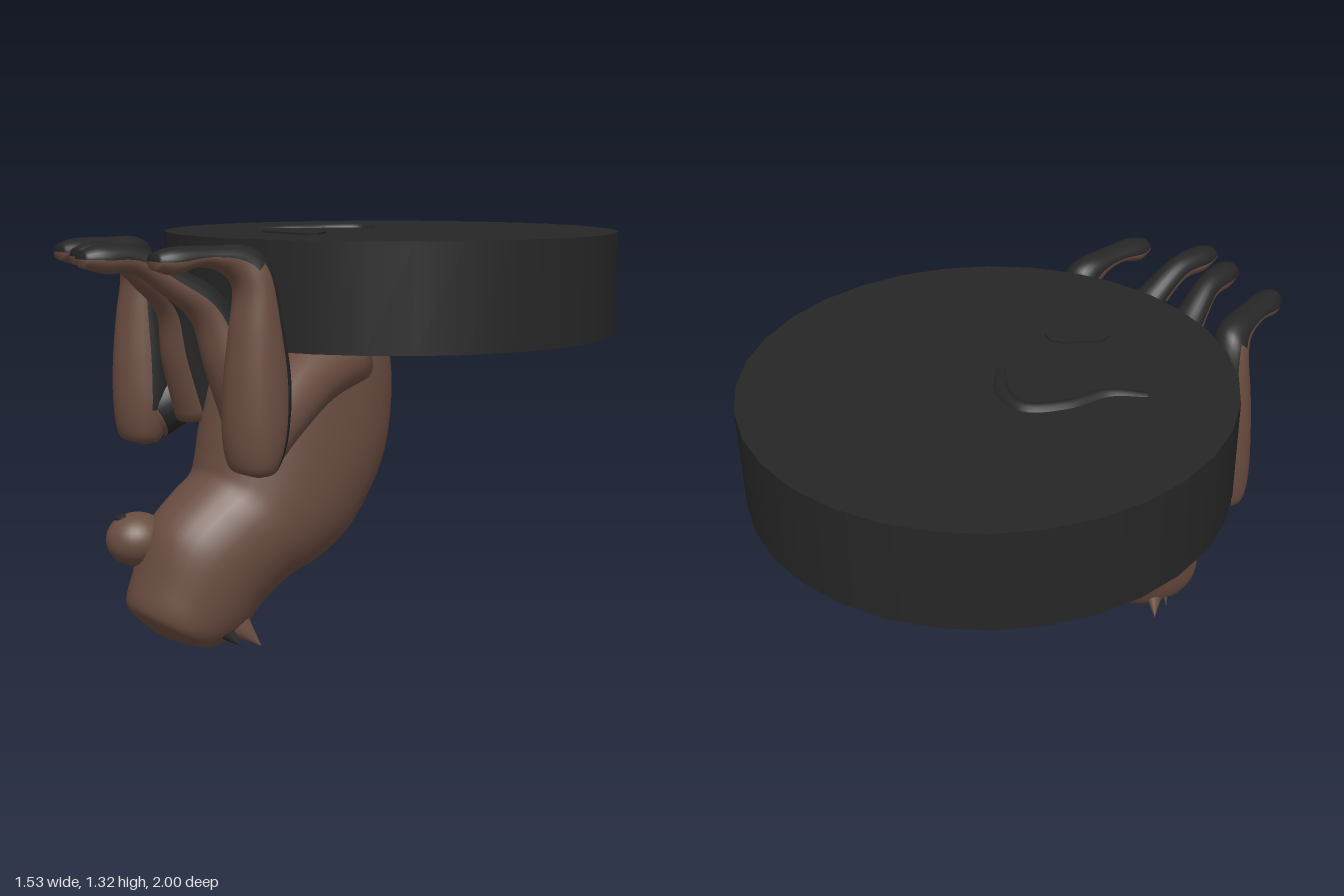
import * as THREE from 'three';

const fur = new THREE.MeshStandardMaterial({ color: 0x694c40 });
fur.name = 'brown fur';
const black = new THREE.MeshStandardMaterial({ color: 0x262626 });
black.name = 'black';

// Lofts ellipses given as [centre x, half width, y and z of one side, y and z of the other side].
// Quads for which isBlack(t, angle) holds go to the black material.
function loft(sections, rows, sides, isBlack = () => false) {
  const curve = (f) => new THREE.CatmullRomCurve3(sections.map((s) => new THREE.Vector3(...f(s))), false, 'catmullrom', 0.5);
  const sideA = curve((s) => [s[0], s[2], s[3]]);
  const sideB = curve((s) => [s[0], s[4], s[5]]);
  const width = curve((s) => [s[1], 0, 0]);
  const pos = [];
  const faces = [[], []];
  const centres = [];
  for (let i = 0; i <= rows; i++) {
    const t = i / rows;
    const a = sideA.getPoint(t), b = sideB.getPoint(t), w = width.getPoint(t).x;
    const c = a.clone().add(b).multiplyScalar(0.5);
    const v = b.clone().sub(a).multiplyScalar(0.5);
    centres.push(c);
    for (let j = 0; j < sides; j++) {
      const g = (j / sides) * Math.PI * 2;
      const p = c.clone().addScaledVector(v, Math.sin(g));
      pos.push(p.x + w * Math.cos(g), p.y, p.z);
    }
  }
  const first = pos.length / 3;
  pos.push(...centres[0].toArray(), ...centres[rows].toArray());
  for (let j = 0; j < sides; j++) {
    const k = (j + 1) % sides;
    const angle = ((j + 0.5) / sides) * Math.PI * 2;
    for (let i = 0; i < rows; i++) {
      const p = i * sides + j, q = i * sides + k;
      faces[isBlack((i + 0.5) / rows, angle) ? 1 : 0].push(p, q, p + sides, q, q + sides, p + sides);
    }
    faces[isBlack(0, angle) ? 1 : 0].push(first, k, j);
    faces[isBlack(1, angle) ? 1 : 0].push(first + 1, rows * sides + j, rows * sides + k);
  }
  const geo = new THREE.BufferGeometry();
  geo.setAttribute('position', new THREE.Float32BufferAttribute(pos, 3));
  geo.setIndex([...faces[0], ...faces[1]]);
  geo.addGroup(0, faces[0].length, 0);
  geo.addGroup(faces[0].length, faces[1].length, 1);
  geo.computeVertexNormals();
  return geo;
}

export function createModel() {
  const model = new THREE.Group();
  const add = (name, geo, mat, x = 0, y = 0, z = 0) => {
    const mesh = new THREE.Mesh(geo, mat);
    mesh.name = name;
    mesh.position.set(x, y, z);
    model.add(mesh);
    return mesh;
  };

  // Round slab that the animal hangs from
  add('slab', new THREE.CylinderGeometry(0.765, 0.765, 0.335, 32), black, 0, 1.15, -0.235);

  // Tail pressed through the slab's top
  const tail = new THREE.CatmullRomCurve3(
    [[-0.4, 1.295, 0.04], [-0.31, 1.302, -0.03], [-0.26, 1.305, -0.17], [-0.18, 1.307, -0.265], [-0.08, 1.306, -0.25], [0.03, 1.295, -0.15]]
      .map((p) => new THREE.Vector3(...p)));
  add('tail', new THREE.TubeGeometry(tail, 40, 0.027, 12), black);

  // Low rump bump on the slab's top
  const bump = new THREE.Shape([[-0.09, -0.23], [0.15, -0.23], [0.15, -0.18], [0.07, -0.09], [0.03, -0.075], [-0.01, -0.09], [-0.09, -0.18]]
    .map((p) => new THREE.Vector2(...p)));
  add('rumpBump', new THREE.ExtrudeGeometry(bump, { depth: 0.008, bevelEnabled: false }), black, 0, 1.316, 0).rotation.x = -Math.PI / 2;

  // Body and head in one sweep, from the slab down to the crown
  add('body', loft([
    [0.04, 0.2, 1.05, -0.11, 1.05, 0.42],
    [0.04, 0.21, 0.94, -0.155, 0.97, 0.46],
    [0.035, 0.225, 0.77, -0.17, 0.86, 0.5],
    [0.03, 0.24, 0.56, -0.13, 0.72, 0.53],
    [0.03, 0.24, 0.355, 0, 0.62, 0.545],
    [0.03, 0.23, 0.25, 0.14, 0.57, 0.56],
    [0.025, 0.22, 0.195, 0.27, 0.52, 0.62],
    [0.02, 0.205, 0.12, 0.37, 0.42, 0.72],
    [0.015, 0.19, 0.045, 0.44, 0.28, 0.77],
    [0.01, 0.165, 0.01, 0.54, 0.18, 0.795],
    [0.01, 0.1, 0.025, 0.62, 0.125, 0.765],
    [0.01, 0.03, 0.05, 0.68, 0.08, 0.72],
  ], 66, 32), [fur, black]);

  // Muzzle, turned a little to one side, with nose
  const muzzle = add('muzzle', new THREE.SphereGeometry(1, 28, 20), fur, -0.07, 0.37, 0.735);
  muzzle.scale.set(0.095, 0.085, 0.1);
  const nose = add('nose', new THREE.SphereGeometry(1, 16, 12), black, -0.09, 0.437, 0.775);
  nose.scale.set(0.035, 0.014, 0.022);

  // Ears: flattened cones swept back, black inside
  for (const [side, x, size] of [['left', 0.155, 1], ['right', -0.125, 0.75]]) {
    const dir = new THREE.Vector3(Math.sign(x) * 0.5, -0.65, -0.5).normalize();
    const ear = add(side + 'Ear', new THREE.ConeGeometry(0.075, 0.17, 20), fur, x, 0.085, 0.49);
    ear.quaternion.setFromUnitVectors(new THREE.Vector3(0, 1, 0), dir);
    ear.scale.set(size, size, size * 0.75);
    const inner = add(side + 'EarInside', new THREE.ConeGeometry(0.042, 0.11, 16), black, x + Math.sign(x) * 0.012, 0.075, 0.545);
    inner.quaternion.copy(ear.quaternion);
    inner.scale.copy(ear.scale);
  }

  // Hind legs: knee, shin and foot, black along the back and top
  const hind = [
    [0.34, 0.03, 0.625, 0.59, 0.615, 0.55],
    [0.34, 0.085, 0.65, 0.635, 0.64, 0.5],
    [0.34, 0.105, 0.75, 0.655, 0.74, 0.46],
    [0.345, 0.1, 0.9, 0.655, 0.9, 0.45],
    [0.35, 0.085, 1.05, 0.64, 1.08, 0.48],
    [0.35, 0.068, 1.17, 0.625, 1.25, 0.52],
    [0.34, 0.055, 1.225, 0.66, 1.305, 0.58],
    [0.33, 0.048, 1.25, 0.74, 1.31, 0.7],
    [0.32, 0.052, 1.23, 0.82, 1.31, 0.82],
    [0.315, 0.035, 1.245, 0.88, 1.295, 0.88],
  ];
  // Thigh from the slab's underside forward and down to the knee
  const thigh = [
    [0.2, 0.1, 0.85, 0.05, 1.05, 0.12],
    [0.23, 0.11, 0.8, 0.22, 0.98, 0.32],
    [0.29, 0.105, 0.71, 0.39, 0.88, 0.48],
    [0.33, 0.095, 0.64, 0.5, 0.8, 0.6],
    [0.34, 0.05, 0.65, 0.56, 0.73, 0.61],
  ];
  for (const [side, s] of [['left', 1], ['right', -1]]) {
    const place = (list) => list.map(([x, ...r], i) => [s > 0 ? x : -x + 0.01 + 0.005 * i, ...r]);
    // the inner flank of the shin is black as well
    const dark = (t, a) => Math.sin(a) > (t > 0.6 ? -0.05 : 0.6) ||
      (t > 0.22 && t < 0.6 && Math.cos(a) * s < -0.3 && Math.sin(a) > -0.15);
    add(side + 'HindLeg', loft(place(hind), 54, 24, dark), [fur, black]);
    add(side + 'Thigh', loft(place(thigh), 24, 24, (t, a) => t > 0.15 && t < 0.75 && Math.cos(a) * s < -0.5), [fur, black]);
  }

  // Forelegs: from the chest up and forward to the paw
  const fore = [
    [0.11, 0.1, 0.72, 0.54, 0.78, 0.4],
    [0.1, 0.085, 0.92, 0.6, 0.97, 0.46],
    [0.078, 0.07, 1.07, 0.63, 1.15, 0.54],
    [0.06, 0.055, 1.16, 0.72, 1.235, 0.66],
    [0.045, 0.045, 1.22, 0.8, 1.3, 0.78],
    [0.035, 0.05, 1.225, 0.88, 1.31, 0.89],
    [0.03, 0.033, 1.245, 0.945, 1.295, 0.945],
  ];
  for (const [side, s, dx, reach] of [['left', 1, 0.07, 0.05], ['right', -1, 0, 0]]) {
    const list = fore.map(([x, w, ay, az, by, bz], i) =>
      [s * x + dx, w, ay, az + (reach * i) / 6, by, bz + (reach * i) / 6]);
    add(side + 'Foreleg', loft(list, 42, 24, (t, a) => Math.sin(a) > 0 || (t < 0.5 && Math.cos(a) * s < -0.8)), [fur, black]);
  }

  return model;
}
